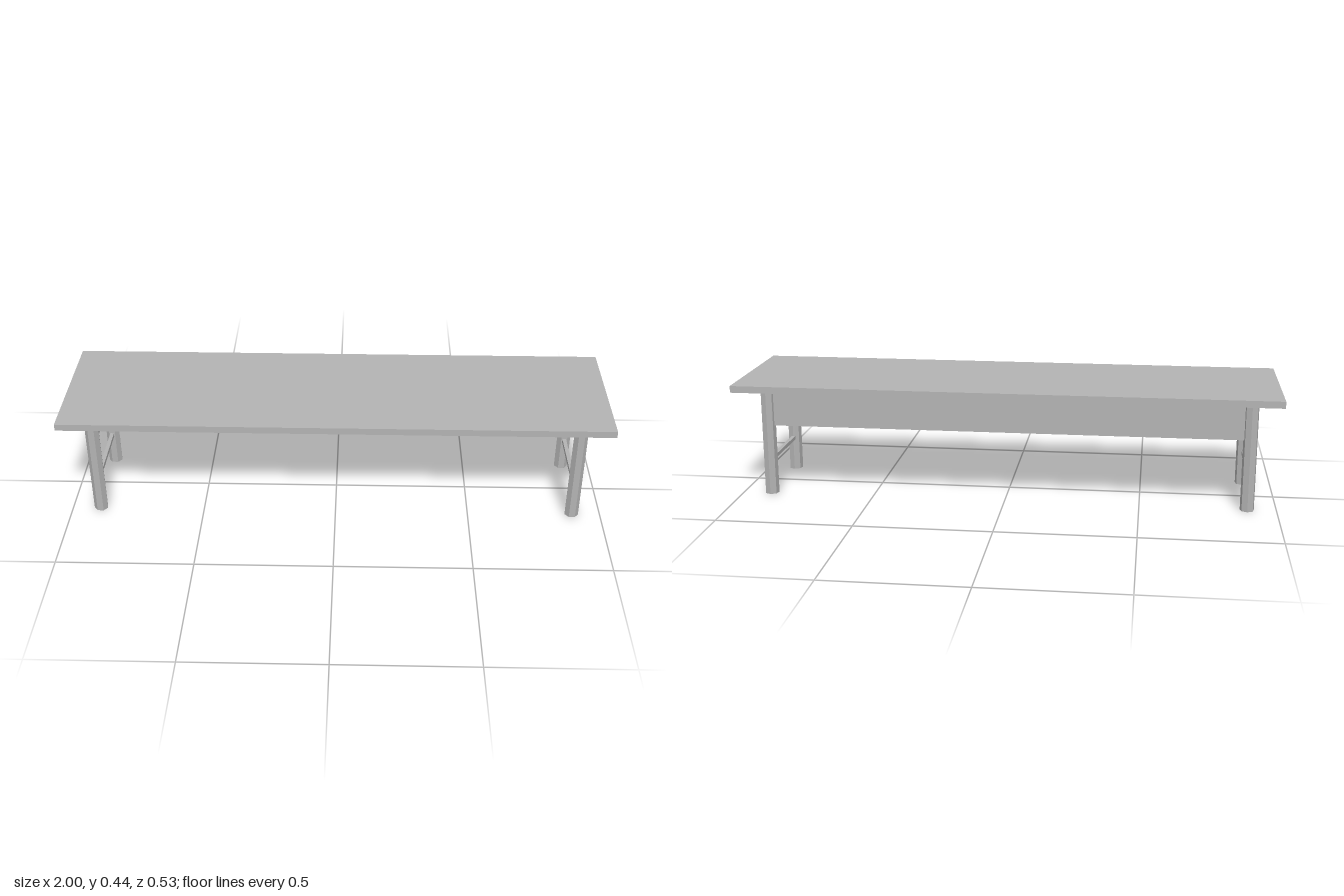
import * as THREE from 'three';

export function createModel() {
  const bench = new THREE.Group();
  bench.name = 'bench';
  const grey = new THREE.MeshStandardMaterial({ color: 0xb3b3b3, flatShading: true });
  grey.name = 'plain grey';

  const add = (name, geometry, x, y, z) => {
    const mesh = new THREE.Mesh(geometry, grey);
    mesh.name = name;
    mesh.position.set(x, y, z);
    bench.add(mesh);
    return mesh;
  };

  const height = 0.4375, topThickness = 0.025;
  const legHeight = height - topThickness;
  const legX = 0.893, legZ = 0.1628, legRadius = 0.0262;

  // Flat top slab
  add('top', new THREE.BoxGeometry(2, topThickness, 0.534), 0, height - topThickness / 2, 0);

  // Seven-sided legs, with one corner pointing straight back
  const legGeometry = new THREE.CylinderGeometry(legRadius, legRadius, legHeight, 7, 1, false, Math.PI);
  // Square bars joining the front and back legs at each end
  const barGeometry = new THREE.BoxGeometry(0.0143, 0.0143, 0.28);
  for (const [side, sx] of [['left', 1], ['right', -1]]) {
    for (const [end, sz] of [['Front', 1], ['Back', -1]]) {
      add(`${side}${end}Leg`, legGeometry, sx * legX, legHeight / 2, sz * legZ);
    }
    add(`${side}Stretcher`, barGeometry, sx * legX, 0.13, 0);
  }

  // Long apron between the back legs
  const apronBottom = 0.266;
  add('backApron', new THREE.BoxGeometry(1.74, legHeight - apronBottom, 0.0125),
    0, (legHeight + apronBottom) / 2, -legZ);

  return bench;
}
